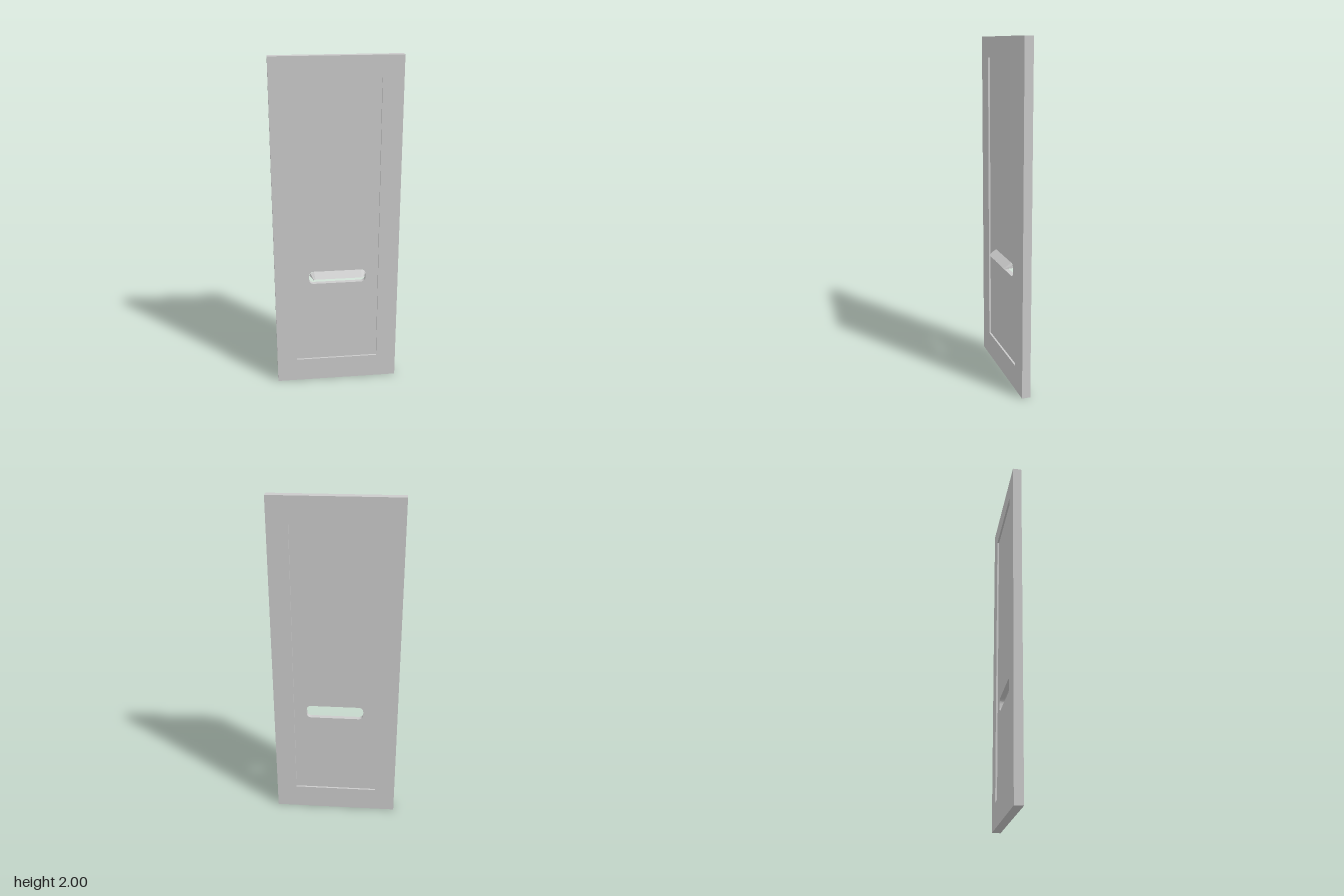
import * as THREE from 'three';

const material = new THREE.MeshStandardMaterial({ color: 0xcccccc, flatShading: true, side: THREE.DoubleSide });

// Adds a rounded rectangle outline to a path or shape
function rounded(path, x0, y0, x1, y1, r) {
  path.moveTo(x0 + r, y0);
  path.lineTo(x1 - r, y0);
  path.quadraticCurveTo(x1, y0, x1, y0 + r);
  path.lineTo(x1, y1 - r);
  path.quadraticCurveTo(x1, y1, x1 - r, y1);
  path.lineTo(x0 + r, y1);
  path.quadraticCurveTo(x0, y1, x0, y1 - r);
  path.lineTo(x0, y0 + r);
  path.quadraticCurveTo(x0, y0, x0 + r, y0);
  return path;
}

function rect(path, x0, y0, x1, y1) {
  path.moveTo(x0, y0);
  path.lineTo(x1, y0);
  path.lineTo(x1, y1);
  path.lineTo(x0, y1);
  path.closePath();
  return path;
}

function slab(name, shape, zBack, zFront) {
  const geometry = new THREE.ExtrudeGeometry(shape, { depth: zFront - zBack, bevelEnabled: false, curveSegments: 6 });
  geometry.translate(0, 0, zBack);
  const mesh = new THREE.Mesh(geometry, material);
  mesh.name = name;
  return mesh;
}

export function createModel() {
  const model = new THREE.Group();
  model.name = 'door';
  const back = -0.045, front = 0.005, recess = 0.011;
  const panelFront = front - recess;

  // Outer frame around the recessed panel
  const frame = rect(new THREE.Shape(), -0.37, 0, 0.37, 2);
  frame.holes.push(rect(new THREE.Path(), -0.25, 0.147, 0.25, 1.88));
  model.add(slab('frame', frame, back, front));

  // Inset panel, cut through by the letter slot
  const panel = rect(new THREE.Shape(), -0.25, 0.147, 0.25, 1.88);
  panel.holes.push(rounded(new THREE.Path(), -0.165, 0.66, 0.175, 0.74, 0.03));
  model.add(slab('panel', panel, back + recess, panelFront));

  // Thin hood over the slot: sloping top with folded ends
  const cx = 0.006;
  const root = [[-0.169, 0.717], [-0.163, 0.732], [-0.142, 0.74], [0.142, 0.74], [0.163, 0.732], [0.169, 0.717]];
  const lip = [[-0.147, 0.705], [-0.147, 0.706], [-0.137, 0.709], [0.137, 0.709], [0.147, 0.706], [0.147, 0.705]];
  const points = [], index = [];
  root.forEach(([x, y], i) => {
    points.push(x + cx, y, panelFront, lip[i][0] + cx, lip[i][1], 0.04);
    if (i < root.length - 1) {
      const a = 2 * i;
      index.push(a, a + 1, a + 3, a, a + 3, a + 2);
    }
  });
  const hoodGeometry = new THREE.BufferGeometry();
  hoodGeometry.setAttribute('position', new THREE.Float32BufferAttribute(points, 3));
  hoodGeometry.setIndex(index);
  hoodGeometry.computeVertexNormals();
  const hood = new THREE.Mesh(hoodGeometry, material);
  hood.name = 'slotHood';
  model.add(hood);

  return model;
}
